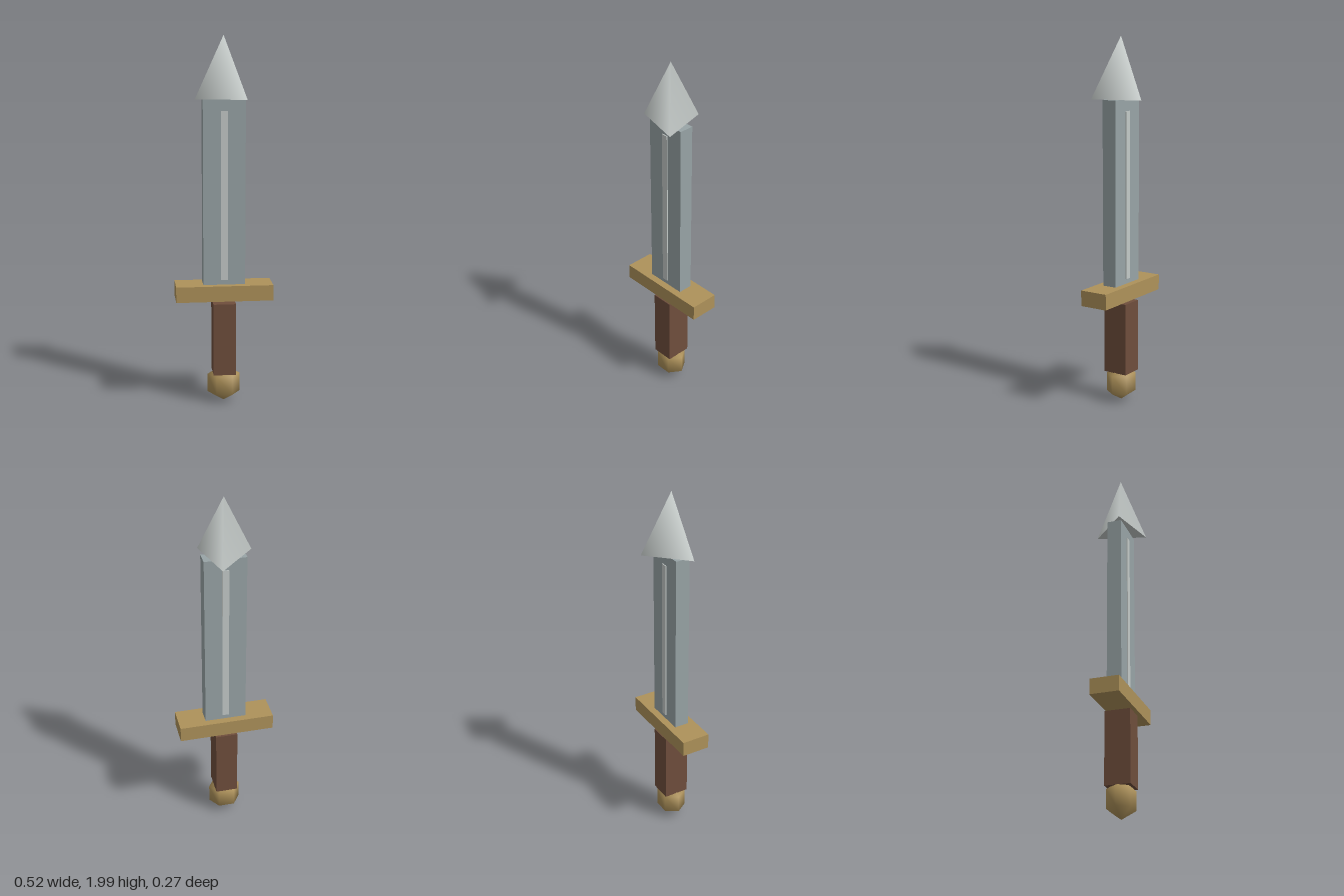
import * as THREE from 'three';

export function createModel() {
  const sword = new THREE.Group();
  sword.name = 'sword';
  const paint = (color) => new THREE.MeshStandardMaterial({ color });
  const steel = paint(0x98a4a6);
  const brightSteel = paint(0xc4cac8);
  const brass = paint(0xae925a);
  const leather = paint(0x6f4e3c);
  const axisZ = 0.02; // every part sits on this axis

  function add(name, geometry, material, y) {
    const mesh = new THREE.Mesh(geometry, material);
    mesh.name = name;
    mesh.position.set(0, y, axisZ);
    sword.add(mesh);
    return mesh;
  }

  // Box spanning bottom to top
  const slab = (name, width, bottom, top, depth, material) =>
    add(name, new THREE.BoxGeometry(width, top - bottom, depth), material, (bottom + top) / 2);

  slab('blade', 0.226, 0.675, 1.672, 0.08, steel);
  slab('bladeRidge', 0.036, 0.702, 1.61, 0.091, brightSteel);
  slab('crossGuard', 0.524, 0.59, 0.675, 0.158, brass);
  slab('grip', 0.122, 0.172, 0.572, 0.14, leather);

  // Three-sided point
  const tip = add('bladeTip', new THREE.ConeGeometry(0.16, 0.328, 3), brightSteel, 1.836);
  tip.rotation.y = Math.PI / 4;

  // Faceted pommel, slightly flattened front to back
  const pommel = add('pommel', new THREE.SphereGeometry(0.102, 6, 3), brass, 0.108);
  pommel.scale.z = 0.86;

  return sword;
}
